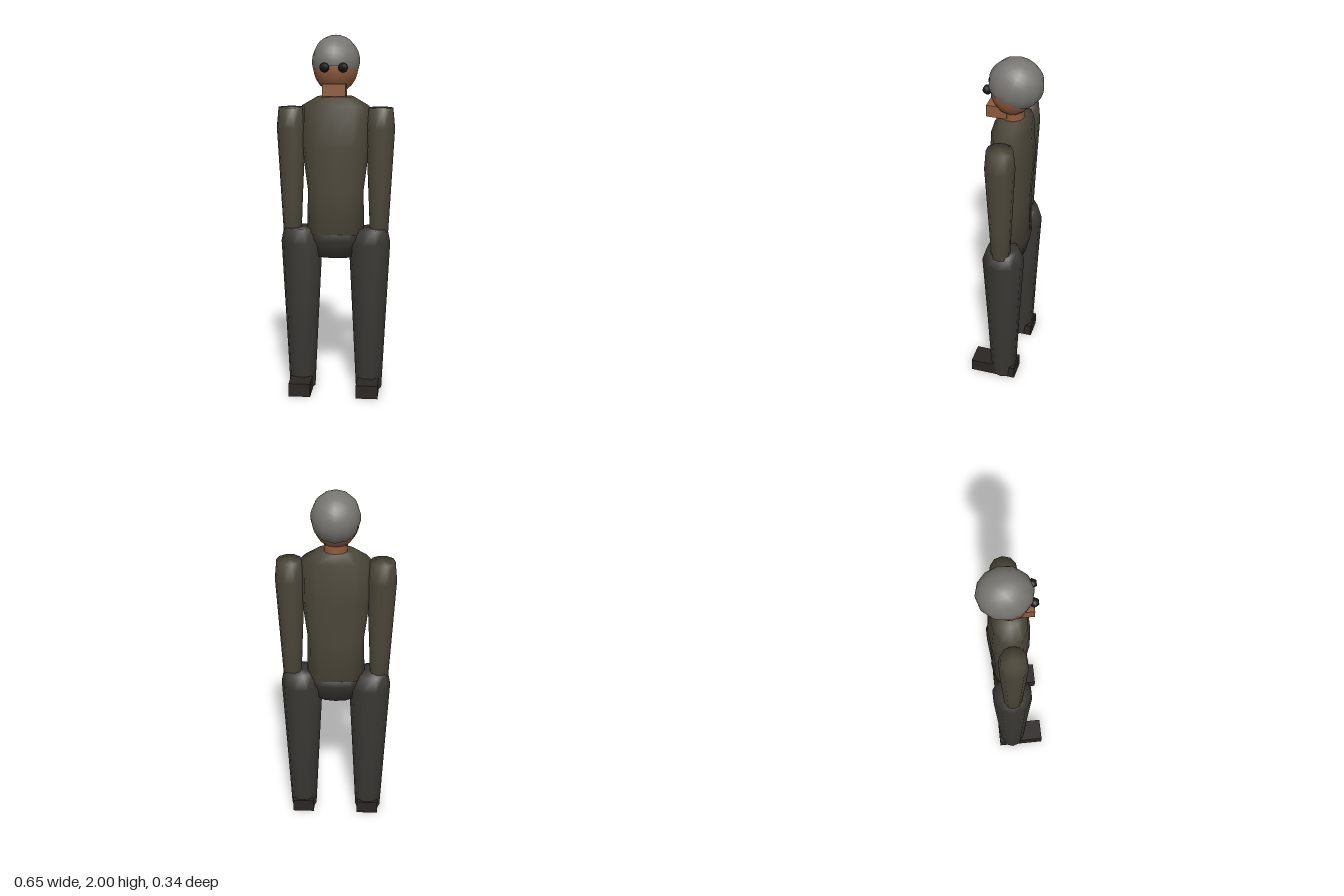
import * as THREE from 'three';

const mat = (color) => new THREE.MeshStandardMaterial({ color });
const SKIN = mat(0x8d5a3c), HAIR = mat(0x777570), TOP = mat(0x4b4639), LEGS = mat(0x393834);
const HIPS = mat(0x35332d), SHOES = mat(0x2a2624), EYES = mat(0x151515);

// Closed smooth loft through rings [y, x, z, halfWidth, halfDepth]; pow below 1 squares the section
function loft(rings, sides, pow = 1) {
  const pos = [], idx = [];
  const bend = (v) => Math.sign(v) * Math.pow(Math.abs(v), pow);
  for (const [y, x, z, rx, rz] of rings) {
    for (let i = 0; i < sides; i++) {
      const a = (i / sides) * Math.PI * 2;
      pos.push(x + rx * bend(Math.cos(a)), y, z + rz * bend(Math.sin(a)));
    }
  }
  const top = rings.length * sides, last = top - sides;
  for (const [y, x, z] of [rings[0], rings[rings.length - 1]]) pos.push(x, y, z);
  for (let i = 0; i < sides; i++) {
    const j = (i + 1) % sides;
    for (let r = 0; r < last; r += sides) {
      idx.push(r + i, r + sides + i, r + j, r + j, r + sides + i, r + sides + j);
    }
    idx.push(top, i, j, top + 1, last + j, last + i);
  }
  const g = new THREE.BufferGeometry();
  g.setAttribute('position', new THREE.Float32BufferAttribute(pos, 3));
  g.setIndex(idx);
  g.computeVertexNormals();
  return g;
}

export function createModel() {
  const model = new THREE.Group();
  model.name = 'figure';
  const add = (name, geometry, material, x = 0, y = 0, z = 0) => {
    const m = new THREE.Mesh(geometry, material);
    m.name = name;
    m.position.set(x, y, z);
    model.add(m);
    return m;
  };

  // Trunk
  add('torso', loft([
    [0.91, 0, -0.01, 0.16, 0.095],
    [1.15, 0, -0.01, 0.155, 0.095],
    [1.4, 0, -0.01, 0.187, 0.112],
    [1.62, 0, -0.01, 0.185, 0.098],
    [1.67, 0, -0.01, 0.1, 0.068],
  ], 12, 0.85), TOP);
  add('hips', loft([
    [0.78, 0, -0.01, 0.108, 0.075],
    [0.88, 0, -0.01, 0.155, 0.1],
    [0.95, 0, -0.01, 0.15, 0.09],
  ], 12, 0.85), HIPS);

  // Head
  add('neck', new THREE.CylinderGeometry(0.06, 0.065, 0.12, 10), SKIN, 0, 1.71, -0.01);
  add('face', new THREE.SphereGeometry(1, 12, 12), SKIN, 0, 1.83, -0.01).scale.set(0.123, 0.14, 0.116);
  add('chin', new THREE.BoxGeometry(0.126, 0.066, 0.11), SKIN, 0, 1.712, 0.06);

  // Hair cap, tipped so it reaches lower at the nape
  const cap = new THREE.SphereGeometry(1, 12, 12, 0, Math.PI * 2, 0, 2.06);
  cap.rotateX(-0.37).scale(0.131, 0.14, 0.145);
  const hair = add('hair', cap, HAIR.clone(), 0, 1.86, -0.028);
  hair.material.side = THREE.DoubleSide;

  // Paired parts
  for (const [side, s] of [['left', 1], ['right', -1]]) {
    add(`${side}Eye`, new THREE.SphereGeometry(0.026, 6, 8), EYES, s * 0.05, 1.832, 0.11);
    add(`${side}Arm`, loft([
      [0.87, s * 0.242, -0.011, 0.049, 0.05],
      [1.1, s * 0.244, -0.011, 0.06, 0.06],
      [1.5, s * 0.246, -0.011, 0.08, 0.08],
      [1.61, s * 0.247, -0.011, 0.068, 0.07],
    ], 10), TOP);
    add(`${side}Leg`, loft([
      [0.005, s * 0.19, -0.01, 0.073, 0.072],
      [0.45, s * 0.19, -0.01, 0.095, 0.093],
      [0.86, s * 0.19, -0.01, 0.116, 0.115],
      [0.94, s * 0.202, -0.01, 0.088, 0.088],
    ], 10), LEGS);
    add(`${side}Shoe`, new THREE.BoxGeometry(0.122, 0.075, 0.262), SHOES, s * 0.189, 0.0375, 0.041);
  }
  return model;
}
